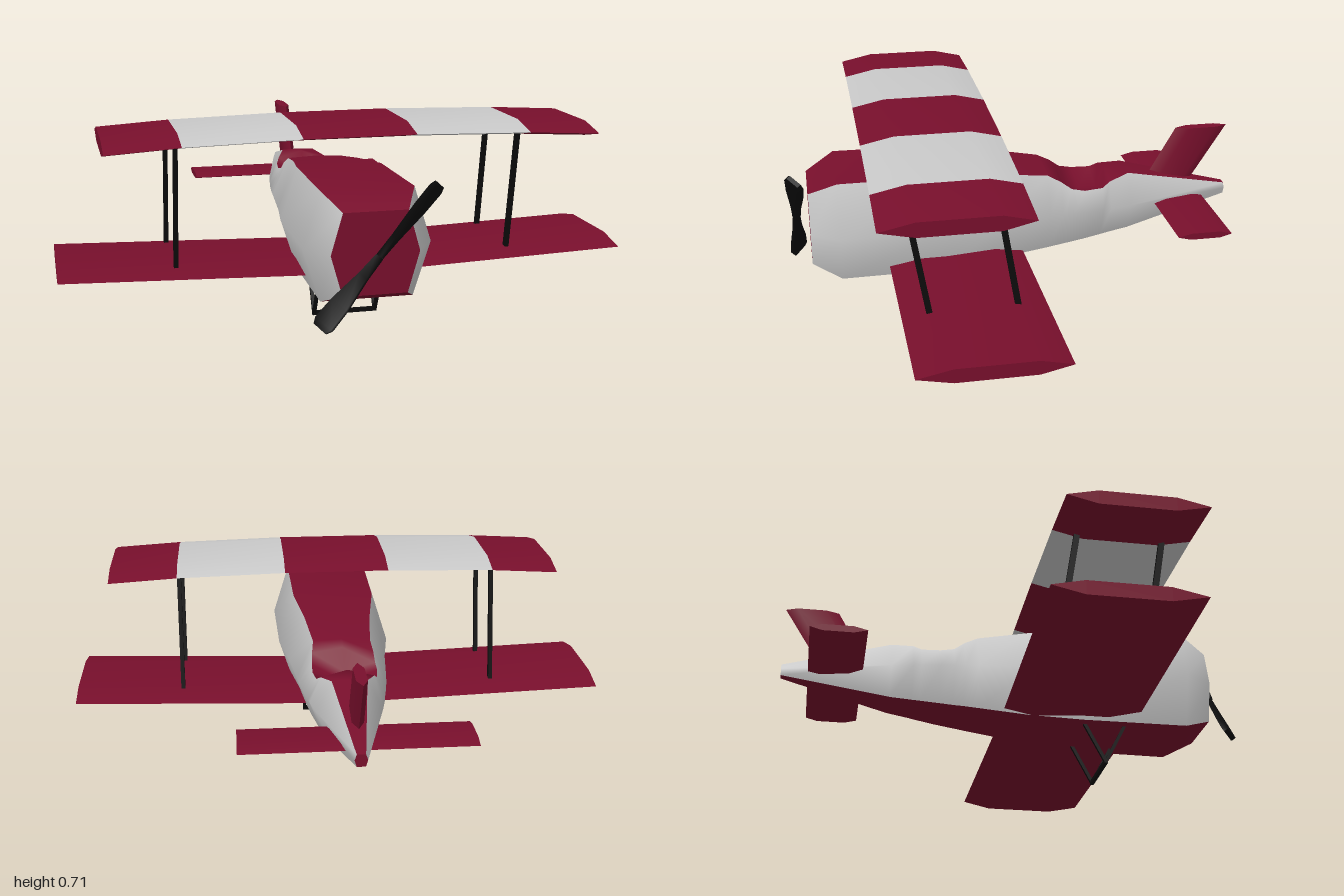
import * as THREE from 'three';
import { mergeGeometries } from 'three/addons/utils/BufferGeometryUtils.js';

const red = new THREE.MeshStandardMaterial({ color: 0x780f2c, name: 'wine red' });
const grey = new THREE.MeshStandardMaterial({ color: 0xc9c9c9, name: 'light grey' });
const black = new THREE.MeshStandardMaterial({ color: 0x0c0c0c, name: 'black' });

// Smooth surface through rows of points; every row has the same length
function surface(rows) {
  const n = rows[0].length, index = [];
  for (let i = 0; i < rows.length - 1; i++) {
    for (let j = 0; j < n - 1; j++) {
      const a = i * n + j, b = a + n;
      index.push(a, a + 1, b, a + 1, b + 1, b);
    }
  }
  const g = new THREE.BufferGeometry();
  g.setAttribute('position', new THREE.Float32BufferAttribute(rows.flat(2), 3));
  g.setIndex(index);
  g.computeVertexNormals();
  return g;
}

function add(parent, name, material, ...geometries) {
  const mesh = new THREE.Mesh(mergeGeometries(geometries), material);
  mesh.name = name;
  parent.add(mesh);
  return mesh;
}

// Foil outline as [chord fraction, thickness factor]
const UPPER = [[-0.5, 0], [-0.28, 1], [0.26, 1], [0.5, 0]];
const LOWER = [[0.5, 0], [0.26, -1], [-0.28, -1], [-0.5, 0]];

// Foil lofted along x through stations [x, y, z centre, chord, half thickness]
function foil(stations, startCap = true, endCap = true) {
  const skin = (outline) => stations.map(([x, y, z, c, t]) =>
    outline.map(([f, k]) => [x, y + k * t, z + f * c]));
  const top = skin(UPPER), bottom = skin(LOWER);
  const parts = [surface(top), surface(bottom)];
  const last = stations.length - 1;
  const under = (i) => [...bottom[i]].reverse();
  if (startCap) parts.push(surface([under(0), top[0]]));
  if (endCap) parts.push(surface([top[last], under(last)]));
  return mergeGeometries(parts);
}

// Straight rod between two points
function rod(a, b, width, depth = width) {
  const p = new THREE.Vector3(...a), q = new THREE.Vector3(...b);
  const g = new THREE.BoxGeometry(width, p.distanceTo(q), depth);
  const dir = q.clone().sub(p).normalize();
  g.applyQuaternion(new THREE.Quaternion().setFromUnitVectors(new THREE.Vector3(0, 1, 0), dir));
  const m = p.add(q).multiplyScalar(0.5);
  return g.translate(m.x, m.y, m.z);
}

function fuselage() {
  const group = new THREE.Group();
  group.name = 'fuselage';
  // z, ridge y, edge y, edge half width, middle half width, bottom y, bottom half width
  const sections = [
    [0.76, 0.475, 0.475, 0.11, 0.15, 0.195, 0.11],
    [0.655, 0.527, 0.527, 0.16, 0.22, 0.15, 0.16],
    [0.27, 0.525, 0.525, 0.155, 0.215, 0.15, 0.155],
    [0.07, 0.505, 0.505, 0.125, 0.185, 0.166, 0.13],
    [-0.12, 0.482, 0.477, 0.105, 0.167, 0.187, 0.115],
    [-0.17, 0.468, 0.45, 0.112, 0.162, 0.193, 0.11],
    [-0.21, 0.39, 0.42, 0.115, 0.157, 0.197, 0.105],
    [-0.26, 0.37, 0.41, 0.117, 0.15, 0.203, 0.1],
    [-0.33, 0.37, 0.412, 0.108, 0.138, 0.212, 0.09],
    [-0.36, 0.455, 0.43, 0.095, 0.134, 0.216, 0.085],
    [-0.44, 0.448, 0.446, 0.062, 0.118, 0.226, 0.075],
    [-0.84, 0.355, 0.355, 0.015, 0.022, 0.312, 0.015],
  ];
  const rings = sections.map(([z, r, e, we, wm, b, wb]) => {
    const side = (s) => [[s * we, e, z], [s * wm, 0.335, z], [s * wb, b, z]];
    return { ridge: [0, r, z], R: side(1), L: side(-1) };
  });
  const nose = rings[0], tail = rings[rings.length - 1];
  const capRows = (r) => [0, 1, 2].map((i) => [r.L[i], r.R[i]]);
  add(group, 'topDeck', red, surface(rings.map((r) => [r.L[0], r.ridge, r.R[0]])));
  add(group, 'belly', red, surface(rings.map((r) => [r.R[2], r.L[2]])));
  add(group, 'leftSide', grey, surface(rings.map((r) => r.R)));
  add(group, 'rightSide', grey, surface(rings.map((r) => [...r.L].reverse())));
  add(group, 'nosePlate', red, surface(capRows(nose).reverse()));
  add(group, 'tailPlate', red, surface(capRows(tail)));
  group.position.x = 0.005;
  return group;
}

function propeller() {
  // Twisted blades that widen towards the tips: [radius, half width, half thickness]
  const profile = [[0, 0.012, 0.009], [0.08, 0.017, 0.009], [0.2, 0.033, 0.01],
    [0.28, 0.036, 0.01], [0.3, 0.026, 0.008]];
  const blade = () => {
    const pitch = 0.75;
    const rows = profile.map(([x, w, t]) =>
      [[-w, -t], [-w, t], [w, t], [w, -t], [-w, -t]].map(([u, v]) =>
        [x, u * Math.cos(pitch) - v * Math.sin(pitch), u * Math.sin(pitch) + v * Math.cos(pitch)]));
    const end = rows[rows.length - 1];
    // rings run around the blade, so rows are reversed to face outward
    return mergeGeometries([
      surface(rows.map((r) => [...r].reverse())),
      surface([[end[0], end[1]], [end[3], end[2]]]),
    ]);
  };
  const group = new THREE.Group();
  group.name = 'propeller';
  const mesh = add(group, 'propellerBlades', black.clone(), blade(), blade().rotateZ(Math.PI));
  mesh.material = black;
  black.side = THREE.DoubleSide;
  group.position.set(0.005, 0.337, 0.806);
  group.rotation.z = 0.86;
  return group;
}

export function createModel() {
  const model = new THREE.Group();
  model.name = 'biplane';
  model.add(fuselage(), propeller());

  // Lower wing with slight dihedral
  add(model, 'lowerWing', red, foil(
    [[-1, 0.217], [0, 0.184], [1, 0.217]].map(([x, y]) => [x, y, 0.23, 0.505, 0.025])));

  // Upper wing in five colour bands, drooping to the tips
  const top = [[-0.84, 0.657], [-0.59, 0.672], [-0.19, 0.682], [0.2, 0.682], [0.605, 0.672], [0.86, 0.657]]
    .map(([x, y]) => [x, y, 0.32, 0.5, 0.026]);
  for (let i = 0; i < 5; i++) {
    add(model, 'upperWingBand' + (i + 1), i % 2 ? grey : red,
      foil([top[i], top[i + 1]], i === 0, i === 4));
  }

  // Tailplane and swept fin
  add(model, 'tailplane', red, foil([-0.4, 0.4].map((x) => [x, 0.323, -0.642, 0.2, 0.012])));
  const fin = foil([[0.36, 0, -0.602, 0.187, 0.021], [0.59, 0, -0.74, 0.2, 0.019]]);
  add(model, 'tailFin', red, fin.rotateZ(Math.PI / 2));

  // Interplane struts
  for (const s of [-1, 1]) {
    for (const z of [0.46, 0.155]) {
      add(model, s > 0 ? 'leftStrut' : 'rightStrut', black,
        rod([s * 0.6, 0.2, z - 0.075], [s * 0.6, 0.665, z + 0.003], 0.015, 0.021));
    }
  }

  // Landing gear: two V frames joined by a cross bar
  const gear = [];
  for (const x of [-0.107, 0.117]) {
    for (const z of [0.437, 0.273]) gear.push(rod([x, 0.007, 0.355], [x, 0.165, z], 0.012));
  }
  gear.push(rod([-0.113, 0.008, 0.355], [0.123, 0.008, 0.355], 0.014));
  add(model, 'landingGear', black, ...gear);
  return model;
}
